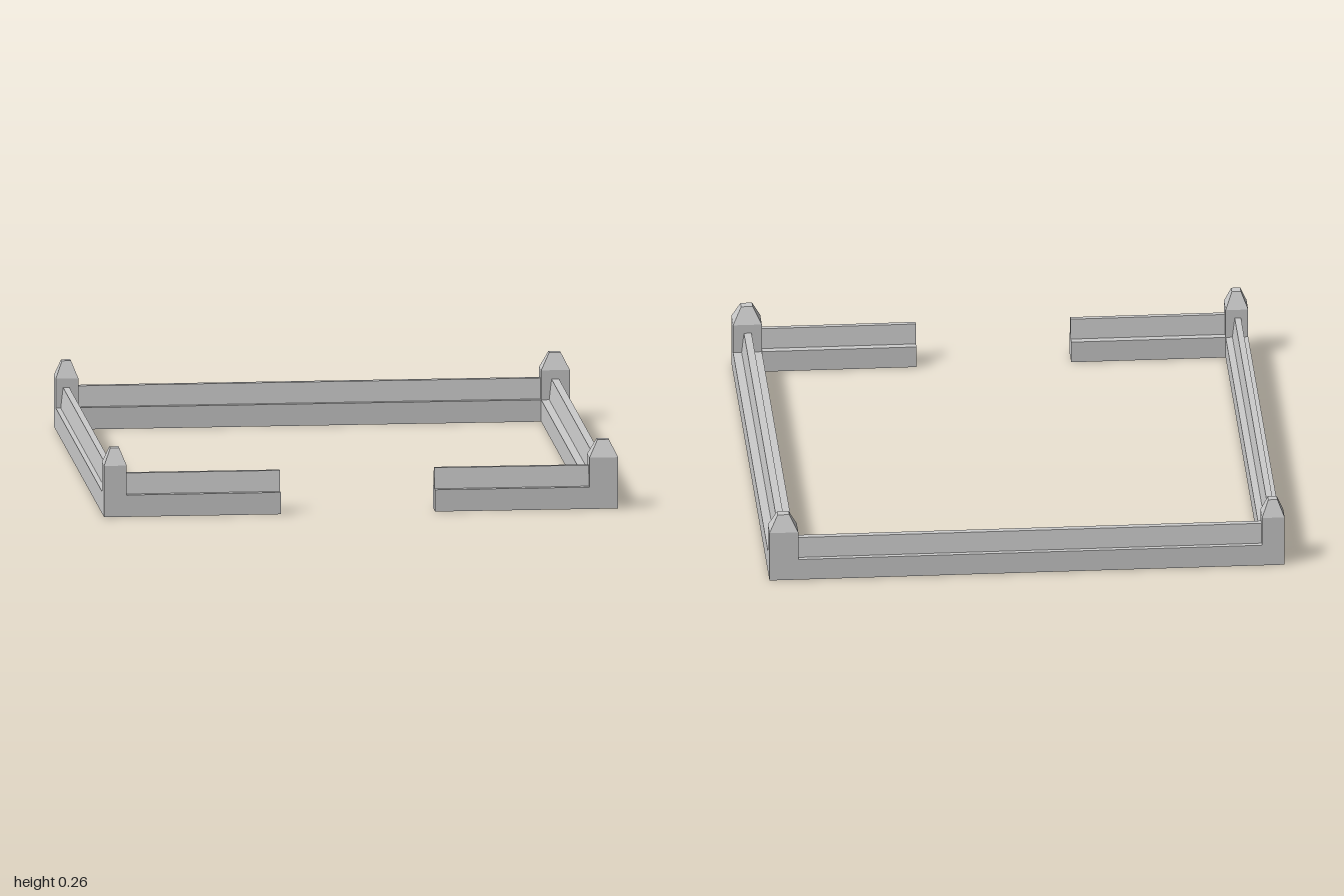
import * as THREE from 'three';

const material = new THREE.MeshStandardMaterial({ color: 0xcccccc, flatShading: true });
const BASE_H = 0.085, WALL_H = 0.165, SHOULDER_H = 0.2, POST_H = 0.265;

// Outer and inner limits of each side: base, foot of the raised rib, top of the rib
const sides = {
  left: { base: [-0.995, -0.908], foot: [-0.976, -0.934], top: [-0.967, -0.943] },
  right: { base: [0.879, 0.99], foot: [0.91, 0.957], top: [0.919, 0.948] },
  back: { base: [-1, -0.918], foot: [-0.981, -0.939], top: [-0.972, -0.948] },
  front: { base: [0.91, 1], foot: [0.938, 0.977], top: [0.947, 0.966] },
};

// Stepped wall: wide base with a tapered rib, extruded from one end to the other
function wall(name, side, from, to, alongX) {
  const s = sides[side];
  // Shape x is mirrored for walls along x so the extrusion can be turned onto that axis
  const k = alongX ? -1 : 1;
  const shape = new THREE.Shape([
    [s.base[0], 0], [s.base[1], 0], [s.base[1], BASE_H], [s.foot[1], BASE_H],
    [s.top[1], WALL_H], [s.top[0], WALL_H], [s.foot[0], BASE_H], [s.base[0], BASE_H],
  ].map(([u, y]) => new THREE.Vector2(k * u, y)));
  const geometry = new THREE.ExtrudeGeometry(shape, { depth: to - from, bevelEnabled: false });
  geometry.translate(0, 0, from);
  if (alongX) geometry.rotateY(Math.PI / 2);
  const mesh = new THREE.Mesh(geometry, material);
  mesh.name = name;
  return mesh;
}

// Corner post: square shaft with a truncated pyramid cap
function post(name, sideX, sideZ) {
  const [x0, x1] = sides[sideX].base, [z0, z1] = sides[sideZ].base;
  const geometry = new THREE.BoxGeometry(1, 1, 1, 1, 2, 1);
  const p = geometry.attributes.position;
  for (let i = 0; i < p.count; i++) {
    const level = p.getY(i);
    const taper = level > 0.25 ? 0.4 : 1;
    const y = level > 0.25 ? POST_H : level < -0.25 ? 0 : SHOULDER_H;
    p.setXYZ(i,
      (x0 + x1) / 2 + p.getX(i) * (x1 - x0) * taper, y,
      (z0 + z1) / 2 + p.getZ(i) * (z1 - z0) * taper);
  }
  geometry.computeVertexNormals();
  const mesh = new THREE.Mesh(geometry, material);
  mesh.name = name;
  return mesh;
}

export function createModel() {
  const group = new THREE.Group();
  group.name = 'lowWallEnclosure';
  const { left, right, back, front } = sides;

  // Three full walls, and a front wall split by the entrance gap
  group.add(
    wall('wallNegativeX', 'left', back.base[1], front.base[0], false),
    wall('wallPositiveX', 'right', back.base[1], front.base[0], false),
    wall('backWall', 'back', left.base[1], right.base[0], true),
    wall('frontWallNegativeX', 'front', left.base[1], -0.313, true),
    wall('frontWallPositiveX', 'front', 0.283, right.base[0], true),
  );

  // Four corner posts
  for (const sx of ['left', 'right'])
    for (const sz of ['back', 'front'])
      group.add(post(`${sz}Post${sx === 'left' ? 'NegativeX' : 'PositiveX'}`, sx, sz));

  return group;
}
